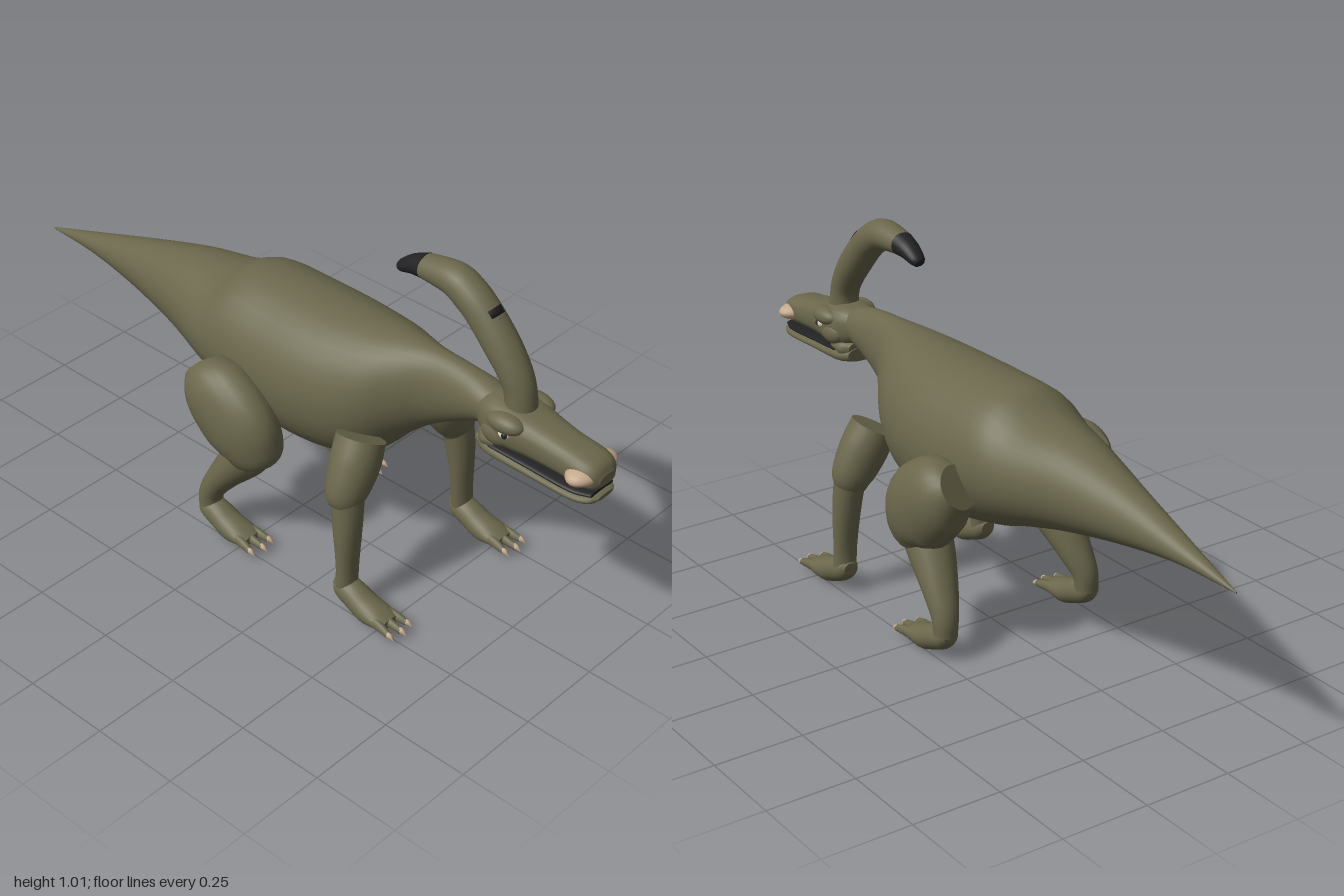
import * as THREE from 'three';

const colour = (name, hex) => {
  const m = new THREE.MeshStandardMaterial({ color: hex });
  m.name = name;
  return m;
};

// Skin through sections [x, y, z, halfHeight, halfWidth], smoothed along their path.
// axis fixes the section direction; power above 2 makes the section squarer.
function loft(sections, { axis = null, power = 2, sides = 24, steps = 6 } = {}) {
  const path = new THREE.CatmullRomCurve3(
    sections.map(s => new THREE.Vector3(s[0], s[1], s[2])), false, 'catmullrom');
  const size = new THREE.CatmullRomCurve3(
    sections.map(s => new THREE.Vector3(s[3], s[4], 0)), false, 'catmullrom');
  const rings = (sections.length - 1) * steps;
  const pos = [], index = [];
  const round = v => Math.sign(v) * Math.pow(Math.abs(v), 2 / power);
  for (let i = 0; i <= rings; i++) {
    const c = path.getPoint(i / rings);
    const r = size.getPoint(i / rings);
    const t = axis || path.getTangent(i / rings);
    const side = new THREE.Vector3(0, 0, 1).addScaledVector(t, -t.z).normalize();
    const up = new THREE.Vector3().crossVectors(side, t);
    for (let j = 0; j < sides; j++) {
      const a = j / sides * Math.PI * 2;
      const p = c.clone()
        .addScaledVector(up, round(Math.cos(a)) * Math.max(r.x, 0.001))
        .addScaledVector(side, round(Math.sin(a)) * Math.max(r.y, 0.001));
      pos.push(p.x, p.y, p.z);
    }
  }
  for (let i = 0; i < rings; i++) {
    for (let j = 0; j < sides; j++) {
      const a = i * sides + j, b = i * sides + (j + 1) % sides;
      index.push(a, b, a + sides, b, b + sides, a + sides);
    }
  }
  // Flat end caps with their own corners, so the rims stay sharp
  for (const end of [0, rings]) {
    const first = pos.length / 3;
    for (let j = 0; j < sides; j++) {
      const k = (end * sides + j) * 3;
      pos.push(pos[k], pos[k + 1], pos[k + 2]);
    }
    const c = path.getPoint(end / rings);
    pos.push(c.x, c.y, c.z);
    for (let j = 0; j < sides; j++) {
      const a = first + j, b = first + (j + 1) % sides, m = first + sides;
      if (end) index.push(m, a, b); else index.push(m, b, a);
    }
  }
  const g = new THREE.BufferGeometry();
  g.setAttribute('position', new THREE.Float32BufferAttribute(pos, 3));
  g.setIndex(index);
  g.computeVertexNormals();
  return g;
}

export function createModel() {
  const skin = colour('olive skin', 0x6b674c);
  const tan = colour('tan horn', 0xc2a688);
  const dark = colour('charcoal', 0x222224);
  const white = colour('eye white', 0xd8d0bc);
  const model = new THREE.Group();
  model.name = 'crestedDinosaur';
  const alongX = new THREE.Vector3(1, 0, 0);

  const add = (parent, name, geometry, material) => {
    const mesh = new THREE.Mesh(geometry, material);
    mesh.name = name;
    parent.add(mesh);
    return mesh;
  };
  const ball = (parent, name, material, at, radii) => {
    const mesh = add(parent, name, new THREE.SphereGeometry(1, 24, 16), material);
    mesh.position.set(...at);
    mesh.scale.set(...radii);
  };
  const group = name => {
    const g = new THREE.Group();
    g.name = name;
    model.add(g);
    return g;
  };

  // Tail, trunk and neck: x, top, bottom, half width
  const trunk = [
    [-1, .492, .488, .002], [-.8, .553, .488, .035], [-.6, .615, .46, .072], [-.4, .668, .42, .122],
    [-.25, .69, .38, .168], [-.15, .732, .345, .19], [0, .736, .312, .2], [.13, .736, .312, .198],
    [.24, .739, .33, .178], [.32, .742, .38, .148], [.39, .744, .455, .105], [.46, .744, .515, .068],
    [.54, .74, .565, .055], [.62, .728, .607, .055], [.68, .71, .62, .05],
  ];
  add(model, 'body', loft(trunk.map(([x, t, b, w]) => [x, (t + b) / 2, 0, (t - b) / 2, w]),
    { axis: alongX, sides: 36 }), skin);

  // Head
  const head = group('head');
  const block = { axis: alongX, power: 2.6 };
  add(head, 'skull', loft([
    [.62, .665, 0, .04, .045], [.67, .66, 0, .06, .07], [.73, .657, 0, .06, .08], [.8, .648, 0, .052, .068],
    [.88, .638, 0, .046, .06], [.95, .631, 0, .042, .06], [.985, .625, 0, .034, .05], [1, .62, 0, .015, .03],
  ], block), skin);
  add(head, 'lowerJaw', loft([
    [.632, .582, 0, .02, .05], [.68, .576, 0, .022, .068], [.8, .568, 0, .016, .066],
    [.93, .563, 0, .015, .064], [.98, .566, 0, .013, .052], [.998, .57, 0, .006, .03],
  ], block), skin);
  add(head, 'jawHinge', loft([
    [.636, .60, 0, .02, .045], [.66, .6, 0, .025, .066], [.7, .605, 0, .02, .066],
  ], block), skin);
  add(head, 'mouth', loft([
    [.685, .594, 0, .008, .069], [.8, .588, 0, .009, .066], [.93, .582, 0, .009, .063], [.985, .581, 0, .007, .045],
  ], block), dark);
  ball(head, 'noseShield', tan, [.95, .628, 0], [.047, .029, .087]);
  for (const s of [1, -1]) {
    ball(head, 'brow', skin, [.73, .683, s * .06], [.055, .026, .031]);
    ball(head, 'cheek', skin, [.705, .64, s * .055], [.05, .035, .027]);
    ball(head, 'eye', white, [.738, .66, s * .073], [.017, .012, .013]);
    ball(head, 'pupil', dark, [.744, .661, s * .081], [.008, .009, .007]);
  }

  // Swept-back crest with dark tip and dark patch
  const crest = group('crest');
  add(crest, 'crestStem', loft([
    [.73, .67, 0, .045, .045], [.725, .74, 0, .041, .042], [.705, .79, 0, .042, .045],
    [.66, .85, 0, .046, .048], [.6, .915, 0, .046, .048], [.555, .95, 0, .046, .048],
    [.505, .972, 0, .043, .046], [.415, .97, 0, .032, .037],
  ]), skin);
  add(crest, 'crestTip', loft([
    [.42, .97, 0, .033, .037], [.38, .96, 0, .026, .031], [.345, .943, 0, .018, .024], [.332, .935, 0, .012, .016],
  ]), dark);
  add(crest, 'crestPatch', loft([
    [.628, .899, 0, .044, .034], [.607, .921, 0, .044, .034],
  ], { steps: 2 }), dark);

  // Foot with three clawed toes, offset along x
  function foot(parent, dx, s) {
    add(parent, 'foot', loft([
      [.347, .075, .235, .018, .02], [.365, .07, .235, .035, .034], [.41, .055, .235, .04, .039],
      [.455, .037, .235, .037, .042], [.5, .034, .235, .024, .043], [.53, .032, .235, .012, .036],
    ].map(([x, y, z, a, b]) => [x + dx, y, z * s, a, b]), { axis: alongX }), skin);
    for (const d of [-1, 0, 1]) {
      const reach = d === 0 ? .012 : 0;
      const z = k => s * .235 + d * k;
      add(parent, 'toe', loft([
        [.48 + dx, .036, z(.026), .018, .014], [.525 + dx, .032, z(.031), .014, .012],
        [.555 + dx + reach, .027, z(.035), .009, .009],
      ], { sides: 12 }), skin);
      add(parent, 'claw', loft([
        [.545 + dx + reach, .029, z(.034), .009, .009], [.56 + dx + reach, .027, z(.036), .0075, .007],
        [.573 + dx + reach, .02, z(.037), .001, .001],
      ], { sides: 12 }), tan);
    }
  }

  for (const s of [1, -1]) {
    const limb = list => loft(list.map(([x, y, z, a, b]) => [x, y, z * s, a, b]));

    const front = group('frontLeg');
    add(front, 'upperArm', limb([
      [.343, .492, .15, .068, .064], [.35, .43, .18, .066, .07],
      [.354, .365, .213, .056, .062], [.358, .325, .223, .043, .046],
    ]), skin);
    add(front, 'forearm', limb([
      [.36, .36, .218, .045, .046], [.37, .26, .227, .037, .042],
      [.376, .14, .232, .026, .036], [.376, .065, .235, .028, .034],
    ]), skin);
    foot(front, 0, s);

    const hind = group('hindLeg');
    add(hind, 'thigh', limb([
      [-.15, .502, .205, .062, .068], [-.1, .47, .225, .108, .085], [-.02, .405, .23, .122, .084],
      [.015, .35, .222, .105, .078], [.02, .305, .21, .072, .066],
    ]), skin);
    add(hind, 'shin', limb([
      [.03, .34, .2, .058, .065], [-.015, .28, .205, .062, .066], [-.08, .195, .22, .045, .052],
      [-.122, .125, .232, .034, .038], [-.128, .07, .235, .03, .034],
    ]), skin);
    foot(hind, -.5, s);
  }
  return model;
}
